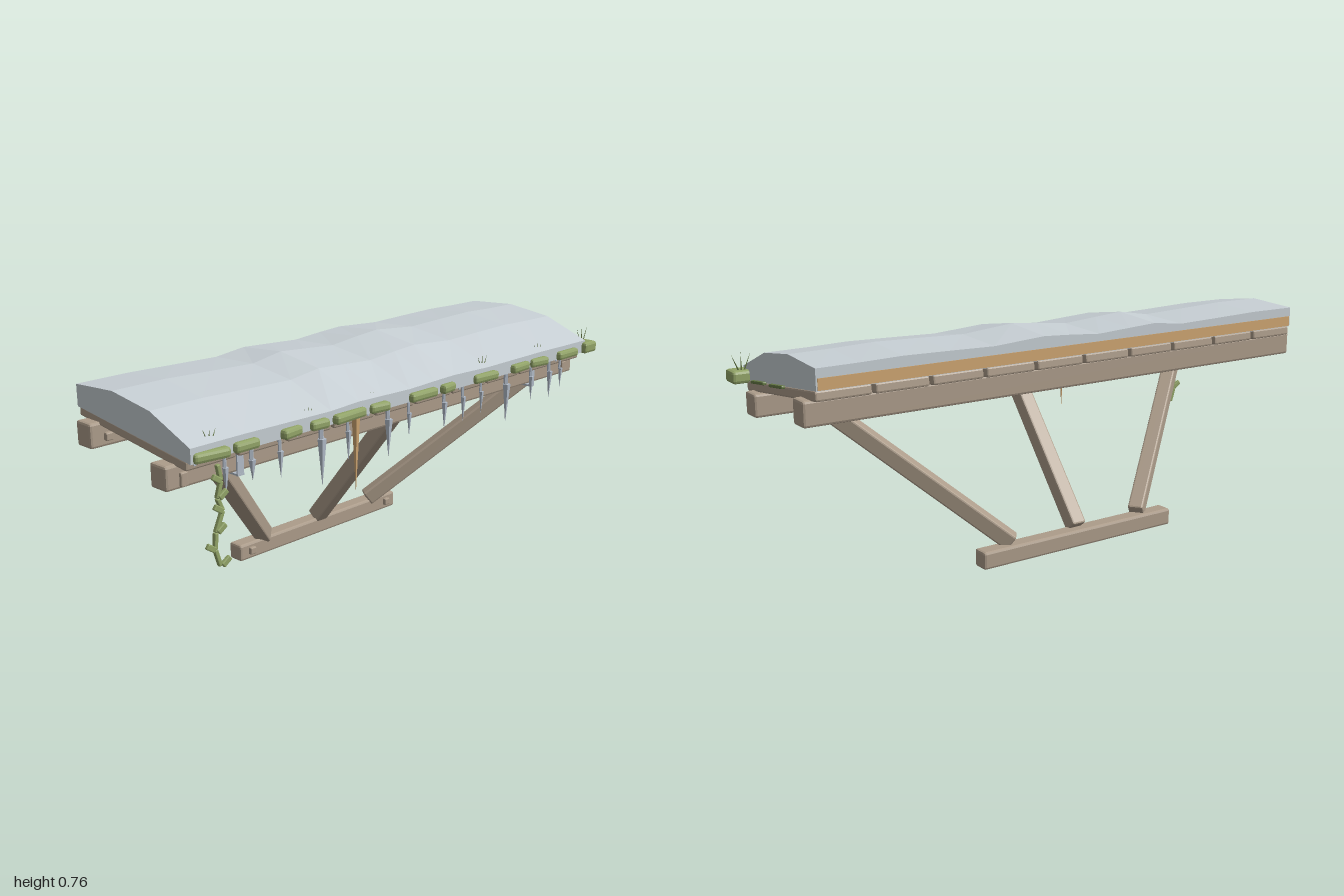
import * as THREE from 'three';
import { RoundedBoxGeometry } from 'three/addons/geometries/RoundedBoxGeometry.js';

const mat = (name, color, side = THREE.FrontSide) => {
  const m = new THREE.MeshStandardMaterial({ color, flatShading: true, side });
  m.name = name;
  return m;
};

// Snow layer: one closed cross-section per x station, following the ridge heights
function snowGeometry() {
  const profile = [[0.26, 0.606, 0], [0.26, 0.653, 0.3], [0.08, 0.725, 0.8], [-0.1, 0.75, 1], [-0.287, 0.738, 0.7], [-0.287, 0.668, 0]];
  const stations = [[-0.97, 0], [-0.78, 0.001], [-0.6, -0.006], [-0.43, -0.012], [-0.31, 0.008], [-0.2, 0], [-0.07, -0.01],
    [0.05, 0.003], [0.15, 0.011], [0.34, -0.006], [0.5, -0.001], [0.66, 0.003], [0.8, -0.002], [0.94, -0.004]];
  const n = profile.length, pos = [], idx = [];
  stations.forEach(([x, rise]) => profile.forEach(([z, y, k]) => pos.push(x, y + rise * k, z)));
  for (let i = 0; i < stations.length - 1; i++) {
    for (let j = 0; j < n; j++) {
      const a = i * n + j, d = i * n + (j + 1) % n;
      idx.push(a, a + n, d + n, a, d + n, d);
    }
  }
  const last = (stations.length - 1) * n;
  for (let j = 1; j < n - 1; j++) idx.push(0, j, j + 1, last, last + j + 1, last + j);
  const g = new THREE.BufferGeometry();
  g.setAttribute('position', new THREE.Float32BufferAttribute(pos, 3));
  g.setIndex(idx);
  g.computeVertexNormals();
  return g;
}

export function createModel() {
  const model = new THREE.Group();
  model.name = 'snowyAwning';
  const wood = mat('weatheredWood', 0xac9c8a);
  const bareWood = mat('bareWood', 0xcfa672);
  const snow = mat('snow', 0xc6ced3);
  const ice = mat('ice', 0xb4becb);
  const metal = mat('metal', 0xb2bcc8);
  const moss = mat('moss', 0x92a468);
  const darkMoss = mat('darkMoss', 0x667a45);

  const add = (name, geometry, material, x, y, z) => {
    const m = new THREE.Mesh(geometry, material);
    m.name = name;
    m.position.set(x, y, z);
    model.add(m);
    return m;
  };
  const block = (name, material, size, at, bevel = 0.008) =>
    add(name, new RoundedBoxGeometry(...size, 1, bevel), material, ...at);
  // Bar running from one point to another
  const bar = (name, material, from, to, w, h, bevel) => {
    const a = new THREE.Vector3(...from), b = new THREE.Vector3(...to);
    const mid = a.clone().add(b).multiplyScalar(0.5);
    const m = block(name, material, [w, h, a.distanceTo(b)], mid.toArray(), bevel);
    m.lookAt(b);
    return m;
  };

  // Roof boards, sloping down to the front
  const count = 10, pitch = 1.92 / count;
  for (let i = 0; i < count; i++) {
    const x = -0.97 + pitch * (i + 0.5);
    bar('roofBoard', wood, [x, 0.592, 0.23], [x, 0.654, -0.288], pitch - 0.012, 0.032, 0.006);
    for (const s of [-1, 1]) {
      add('nail', new THREE.BoxGeometry(0.008, 0.008, 0.004), metal, x + s * 0.06, 0.593, 0.231);
    }
  }
  add('snowLayer', snowGeometry(), snow, 0, 0, 0);
  add('backStrip', new THREE.BoxGeometry(1.9, 0.036, 0.006), bareWood, -0.015, 0.688, -0.286);

  // Beams, foot bar and their pegs
  block('frontBeam', wood, [1.97, 0.076, 0.074], [-0.015, 0.55, 0.145]);
  block('backBeam', wood, [1.97, 0.08, 0.074], [-0.015, 0.597, -0.22]);
  block('footBar', wood, [0.79, 0.06, 0.06], [-0.015, 0.03, -0.25]);
  for (const s of [-1, 1]) {
    block('frontPeg', wood, [0.026, 0.045, 0.02], [-0.015 + s * 0.925, 0.54, 0.181], 0.004);
    block('backPeg', wood, [0.026, 0.026, 0.02], [-0.015 + s * 0.925, 0.59, -0.178], 0.004);
    block('footPeg', wood, [0.026, 0.026, 0.02], [-0.015 + s * 0.345, 0.032, -0.217], 0.004);
    // Metal strap around the front beam
    const x = -0.015 + s * 0.72;
    add('strapFront', new THREE.BoxGeometry(0.025, 0.09, 0.006), metal, x, 0.545, 0.186);
    add('strapUnder', new THREE.BoxGeometry(0.025, 0.006, 0.09), metal, x, 0.504, 0.145);
    add('strapBack', new THREE.BoxGeometry(0.025, 0.085, 0.006), metal, x, 0.547, 0.104);
  }

  // Braces fanning out from the foot bar to the front beam
  for (const s of [-1, 0, 1]) {
    bar('brace', wood, [-0.015 + s * 0.265, 0.062, -0.245], [-0.015 + s * 0.765, 0.53, 0.135], 0.054, 0.056, 0.006);
  }

  // Icicles: x, tip height, radius
  const icicles = [[-0.84, 0.48, 0.01], [-0.74, 0.5, 0.012], [-0.63, 0.48, 0.01], [-0.46, 0.41, 0.015], [-0.345, 0.465, 0.01],
    [-0.16, 0.435, 0.014], [-0.06, 0.485, 0.009], [0.12, 0.47, 0.011], [0.22, 0.475, 0.01], [0.32, 0.485, 0.009],
    [0.465, 0.42, 0.015], [0.615, 0.475, 0.01], [0.73, 0.46, 0.012], [0.8, 0.49, 0.009]];
  for (const [x, tip, r] of icicles) {
    const h = 0.565 - tip;
    add('icicle', new THREE.ConeGeometry(r, h, 5).rotateX(Math.PI), ice, x, tip + h / 2, 0.248);
    add('icicleRoot', new THREE.CylinderGeometry(r * 0.5, r * 0.6, 0.05, 5), ice, x, 0.588, 0.245);
  }
  add('woodSplinter', new THREE.ConeGeometry(0.014, 0.25, 5).rotateX(Math.PI), bareWood, -0.31, 0.475, 0.246);

  // Moss clumps along the front edge: x, width
  const clumps = [[-0.9, 0.12], [-0.775, 0.09], [-0.6, 0.08], [-0.485, 0.07], [-0.355, 0.14], [-0.22, 0.08], [-0.01, 0.13],
    [0.115, 0.07], [0.32, 0.12], [0.52, 0.1], [0.635, 0.09], [0.815, 0.12]];
  clumps.forEach(([x, w], i) => {
    const m = block('mossClump', moss, [w, 0.032, 0.05], [x, 0.62, 0.254], 0.01);
    m.rotation.y = ((i * 7) % 5 - 2) * 0.07;
  });
  block('cornerMoss', moss, [0.075, 0.042, 0.07], [0.958, 0.624, 0.245], 0.01);
  for (const [z, y] of [[0.12, 0.622], [-0.025, 0.637]]) {
    const m = block('sideMoss', darkMoss, [0.014, 0.01, 0.1], [0.948, y, z], 0.003);
    m.rotation.x = 0.12;
  }

  // Grass tufts: x, base height, blade length
  for (const [x, y, len] of [[-0.88, 0.65, 0.04], [-0.5, 0.65, 0.02], [-0.23, 0.65, 0.02], [0.34, 0.65, 0.04], [0.67, 0.65, 0.03], [0.958, 0.638, 0.065]]) {
    for (const k of [-1, 0, 1]) {
      const blade = new THREE.ConeGeometry(0.003, len, 4).translate(0, len / 2, 0);
      const m = add('grassBlade', blade, darkMoss, x + k * 0.006, y, 0.232 + k * 0.003);
      m.rotation.z = -k * 0.4;
    }
  }

  // Hanging vine with leaves
  const vine = [[-0.885, 0.59], [-0.875, 0.54], [-0.89, 0.49], [-0.873, 0.45], [-0.9, 0.39], [-0.905, 0.34], [-0.888, 0.285]];
  for (let i = 0; i < vine.length - 1; i++) {
    const [x, y] = vine[i], [x2, y2] = vine[i + 1], s = i % 2 ? 1 : -1;
    bar('vineStem', moss, [x, y, 0.268], [x2, y2, 0.268], 0.014, 0.013, 0.003);
    const leaf = block('vineLeaf', moss, [0.034, 0.018, 0.012], [x2 + s * 0.018, y2 + 0.01, 0.273], 0.003);
    leaf.rotation.z = s * 0.6;
  }
  return model;
}
